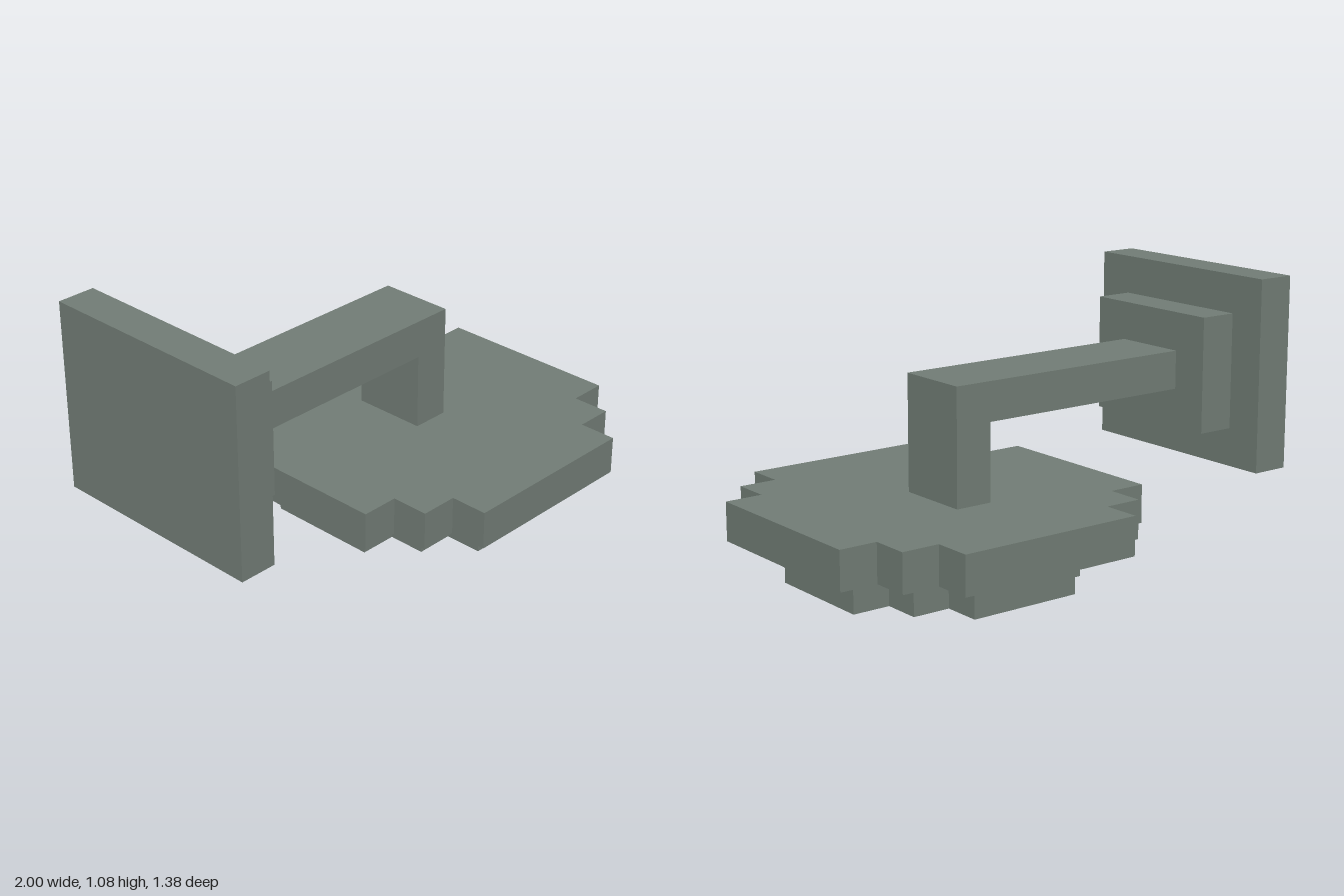
import * as THREE from 'three';

const U = 2 / 13; // one block of the grid

export function createModel() {
  const group = new THREE.Group();
  const metal = new THREE.MeshStandardMaterial({ color: 0x717c75 });
  metal.name = 'grey green metal';

  const add = (name, geometry) => {
    geometry.scale(U, U, U);
    const mesh = new THREE.Mesh(geometry, metal);
    mesh.name = name;
    group.add(mesh);
  };

  // Box from its minimum and maximum corners, in blocks
  const box = (name, [x0, y0, z0], [x1, y1, z1]) =>
    add(name, new THREE.BoxGeometry(x1 - x0, y1 - y0, z1 - z0)
      .translate((x0 + x1) / 2, (y0 + y1) / 2, (z0 + z1) / 2));

  // Stepped disc: the corners of a square of half-width r are cut by two one-block steps
  const steppedDisc = (name, r, y, holes = []) => {
    const quarter = [[r, r - 2], [r - 1, r - 2], [r - 1, r - 1], [r - 2, r - 1], [r - 2, r]];
    const points = [];
    for (let k = 0; k < 4; k++) {
      for (const [a, b] of quarter) {
        points.push(new THREE.Vector2(...[[a, b], [-b, a], [-a, -b], [b, -a]][k]));
      }
    }
    const shape = new THREE.Shape(points);
    for (const [hx, hy] of holes) {
      shape.holes.push(new THREE.Path([[-0.5, -0.5], [-0.5, 0.5], [0.5, 0.5], [0.5, -0.5]]
        .map(([a, b]) => new THREE.Vector2(hx + a, hy + b))));
    }
    add(name, new THREE.ExtrudeGeometry(shape, { depth: 1, bevelEnabled: false })
      .rotateX(-Math.PI / 2).translate(2, y, 0));
  };

  // Wall mount
  box('wallPlate', [-6.5, 2, -3.5], [-5.5, 7, 2.5]);
  box('mountCollar', [-5.5, 3, -2.5], [-4.5, 6, 1.5]);

  // Bent pipe
  box('horizontalArm', [-4.5, 4, -1.5], [2.5, 5, 0.5]);
  box('downPipe', [1.5, 2, -1.5], [2.5, 4, 0.5]);

  // Head with four nozzle holes underneath
  steppedDisc('headRim', 4.5, 1);
  steppedDisc('nozzlePlate', 3.5, 0, [[-1, -1], [1, -1], [-1, 1], [1, 1]]);

  return group;
}
